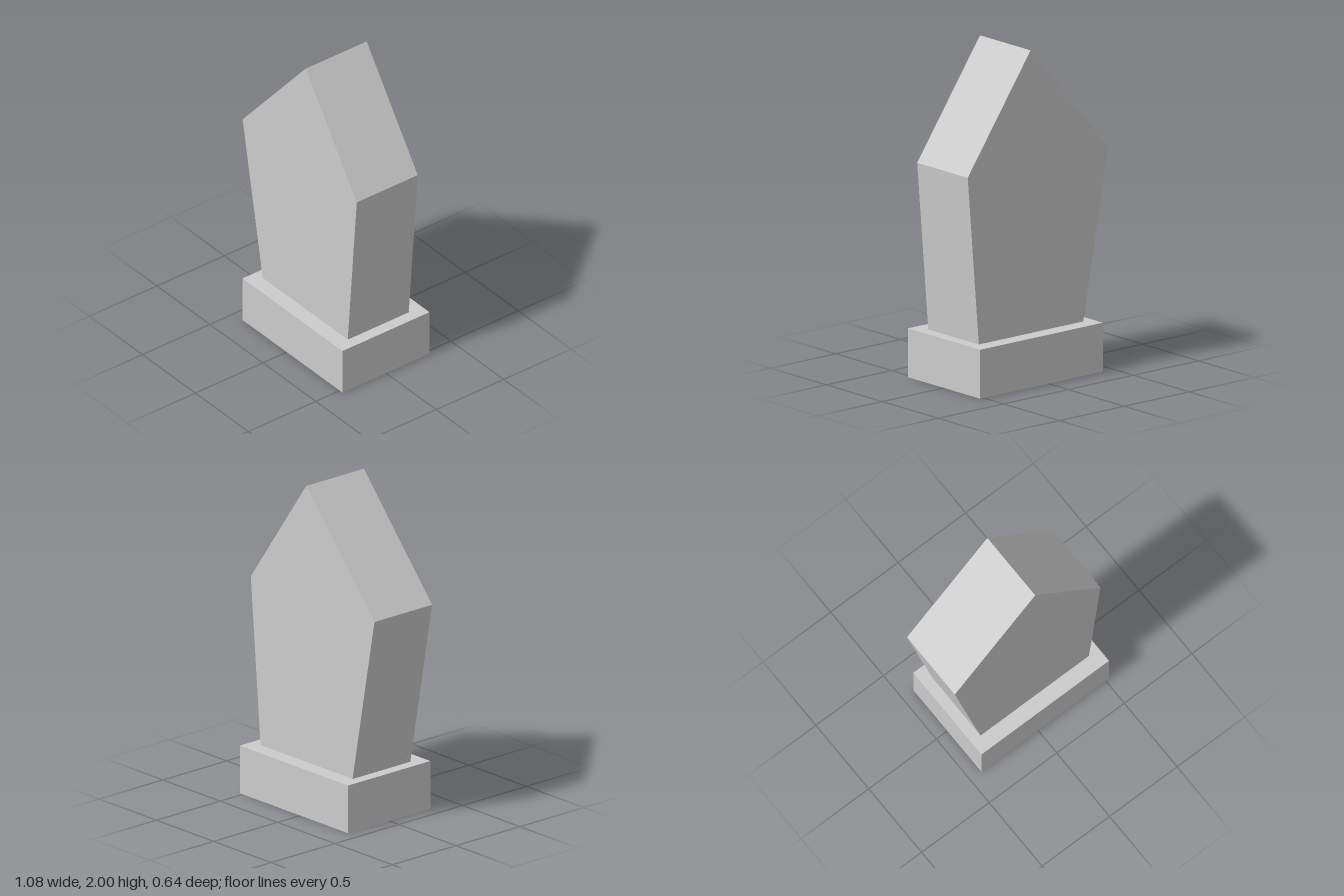
import * as THREE from 'three';

// Skin rectangular sections [y, xMin, xMax, zHalf] listed from first to last
function loft(sections) {
  const loops = sections.map(([y, x0, x1, z]) => [[x0, y, z], [x1, y, z], [x1, y, -z], [x0, y, -z]]);
  const pos = [];
  for (let s = 0; s < loops.length - 1; s++) {
    const a = loops[s], b = loops[s + 1];
    for (let i = 0; i < 4; i++) {
      const j = (i + 1) % 4;
      pos.push(...a[i], ...a[j], ...b[j], ...a[i], ...b[j], ...b[i]);
    }
  }
  const geo = new THREE.BufferGeometry();
  geo.setAttribute('position', new THREE.Float32BufferAttribute(pos, 3));
  geo.computeVertexNormals();
  return geo;
}

export function createModel() {
  const model = new THREE.Group();
  model.name = 'pointedMarker';
  const stone = new THREE.MeshStandardMaterial({ color: 0xcccccc, side: THREE.DoubleSide });
  stone.name = 'stone grey';

  const add = (name, sections) => {
    const mesh = new THREE.Mesh(loft(sections), stone);
    mesh.name = name;
    model.add(mesh);
  };

  // Plinth: open underneath, with a ledge around the slab
  add('plinth', [
    [0, -0.418, 0.526, 0.322],
    [0.295, -0.418, 0.526, 0.322],
    [0.295, -0.35, 0.453, 0.226],
  ]);

  // Slab: flares upward, then closes to an off-centre ridge
  add('slab', [
    [0.295, -0.35, 0.453, 0.226],
    [1.315, -0.54, 0.538, 0.226],
    [2, 0.055, 0.055, 0.226],
  ]);

  // Stepped hollow seen from underneath
  add('hollow', [
    [0.315, -0.354, 0.455, 0.226],
    [0.315, -0.315, 0.415, 0.19],
    [1.28, -0.48, 0.485, 0.19],
    [1.9, 0.055, 0.055, 0.19],
  ]);
  return model;
}
